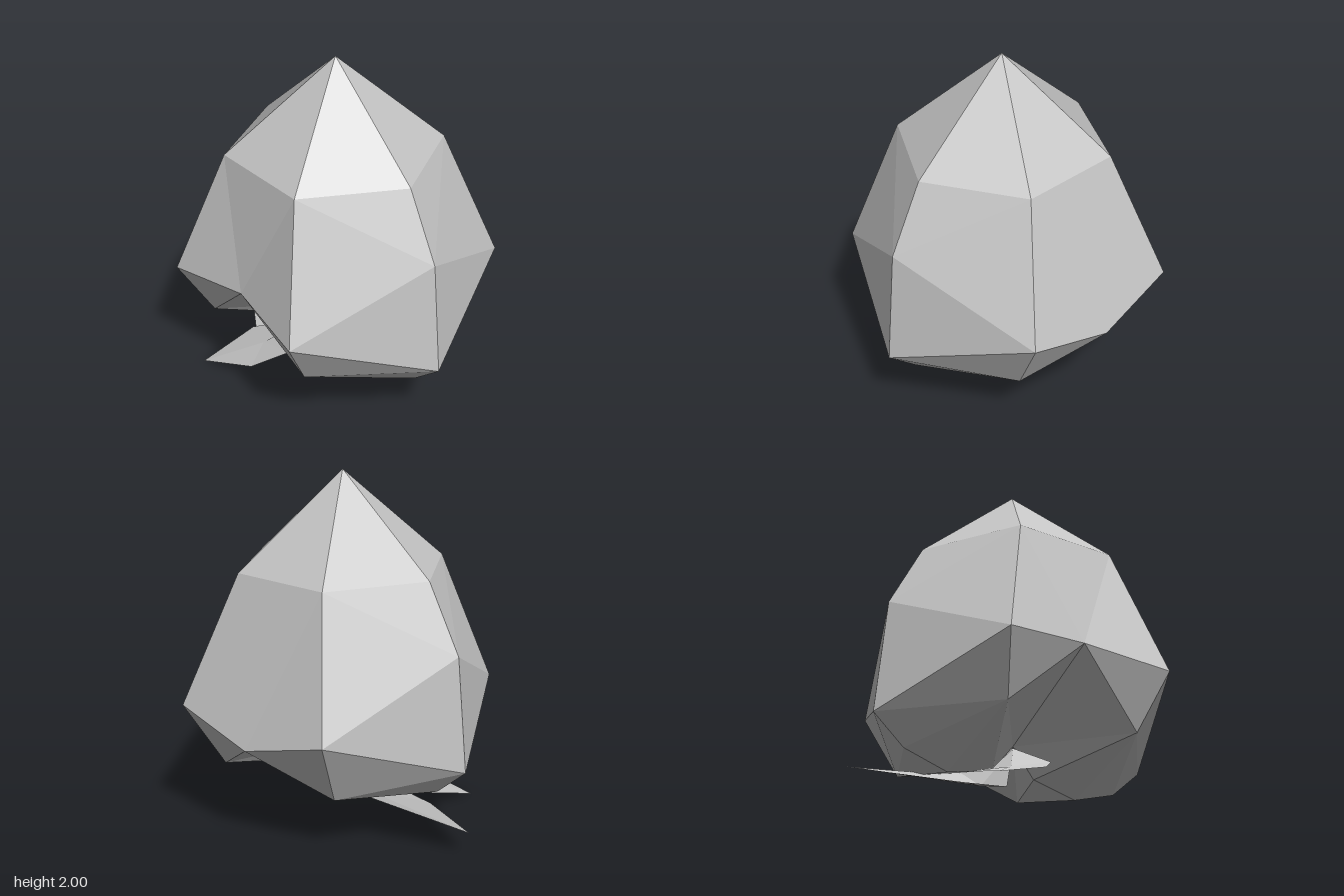
import * as THREE from 'three';

// flat-shaded surface from corner triples
function surface(name, tris, material) {
  const g = new THREE.BufferGeometry();
  g.setAttribute('position', new THREE.Float32BufferAttribute(tris.flat(2), 3));
  g.computeVertexNormals();
  const mesh = new THREE.Mesh(g, material);
  mesh.name = name;
  return mesh;
}

// turn a triangle so it faces away from an inside point
function outward(tri, inside) {
  const [a, b, c] = tri.map(p => new THREE.Vector3(...p));
  const n = b.clone().sub(a).cross(c.clone().sub(a));
  return n.dot(a.sub(new THREE.Vector3(...inside))) < 0 ? [tri[0], tri[2], tri[1]] : tri;
}

export function createModel() {
  const grey = new THREE.MeshStandardMaterial({ color: 0xc4c4c4, flatShading: true, side: THREE.DoubleSide });
  grey.name = 'light grey';
  const model = new THREE.Group();
  model.name = 'facetedBud';

  // points shared by the front and back of one lobe, relative to the bud's axis
  const apex = [0, 2, 0];
  const shoulder = [0.6, 1.47, 0], flank = [0.8, 1.09, 0], side = [0.865, 0.44, 0];
  const under = [0.68, 0.28, 0], base = [0.412, 0.2, 0], inner = [0.135, 0.265, 0];
  const hollow = [0, 0.43, 0];

  // quarter of the bud: upper ring, widest corner, notch and lower corner
  function quarter(ring, corner, notch, low) {
    const mid = [0, ring[1], ring[2]];
    return [
      [apex, shoulder, ring], [apex, ring, mid],
      [shoulder, flank, ring], [flank, corner, ring], [flank, side, corner],
      [mid, ring, notch], [ring, corner, notch],
      [corner, side, low], [notch, corner, low],
      [side, under, low], [under, base, low], [base, inner, low],
      [inner, hollow, low], [hollow, notch, low],
    ];
  }
  const half = [
    ...quarter([0.3, 1.47, 0.525], [0.508, 0.73, 0.74], [0, 0.79, 0.668], [0.41, 0.415, 0.565]),
    ...quarter([0.3, 1.47, -0.525], [0.508, 0.73, -0.775], [0, 0.6, -0.815], [0.405, 0.34, -0.555]),
  ].map(t => outward(t, [0.35, 0.8, 0]));

  // both lobes, mirrored across the axis
  const mirrored = half.map(([a, b, c]) => [a, c, b].map(([x, y, z]) => [-x, y, z]));
  const bud = new THREE.Group();
  bud.name = 'bud';
  bud.add(surface('leftLobe', half, grey), surface('rightLobe', mirrored, grey));
  bud.position.set(0.045, 0, 0.035);
  model.add(bud);

  // two pointed leaves fanned around a raised fold point
  const fan = (mid, rim) => rim.map((p, i) => [mid, rim[(i + 1) % rim.length], p]);
  const root = [0.045, 0.42, 0.035];
  const sideLeaf = fan([-0.12, 0.19, -0.03], [
    root, [-0.175, 0.335, -0.215], [-0.4, 0.29, -0.28],
    [-0.915, 0.145, -0.05], [-0.42, 0.065, 0.27], [-0.165, 0.085, 0.29],
  ]);
  const frontLeaf = fan([-0.2, 0.16, 0.38], [
    root, [-0.13, 0.25, 0.1], [-0.41, 0.115, 0.3],
    [-0.45, 0.005, 0.64], [-0.1, 0.125, 0.55], [0.05, 0.235, 0.38],
  ]);
  model.add(surface('sideLeaf', sideLeaf, grey), surface('frontLeaf', frontLeaf, grey));
  return model;
}
